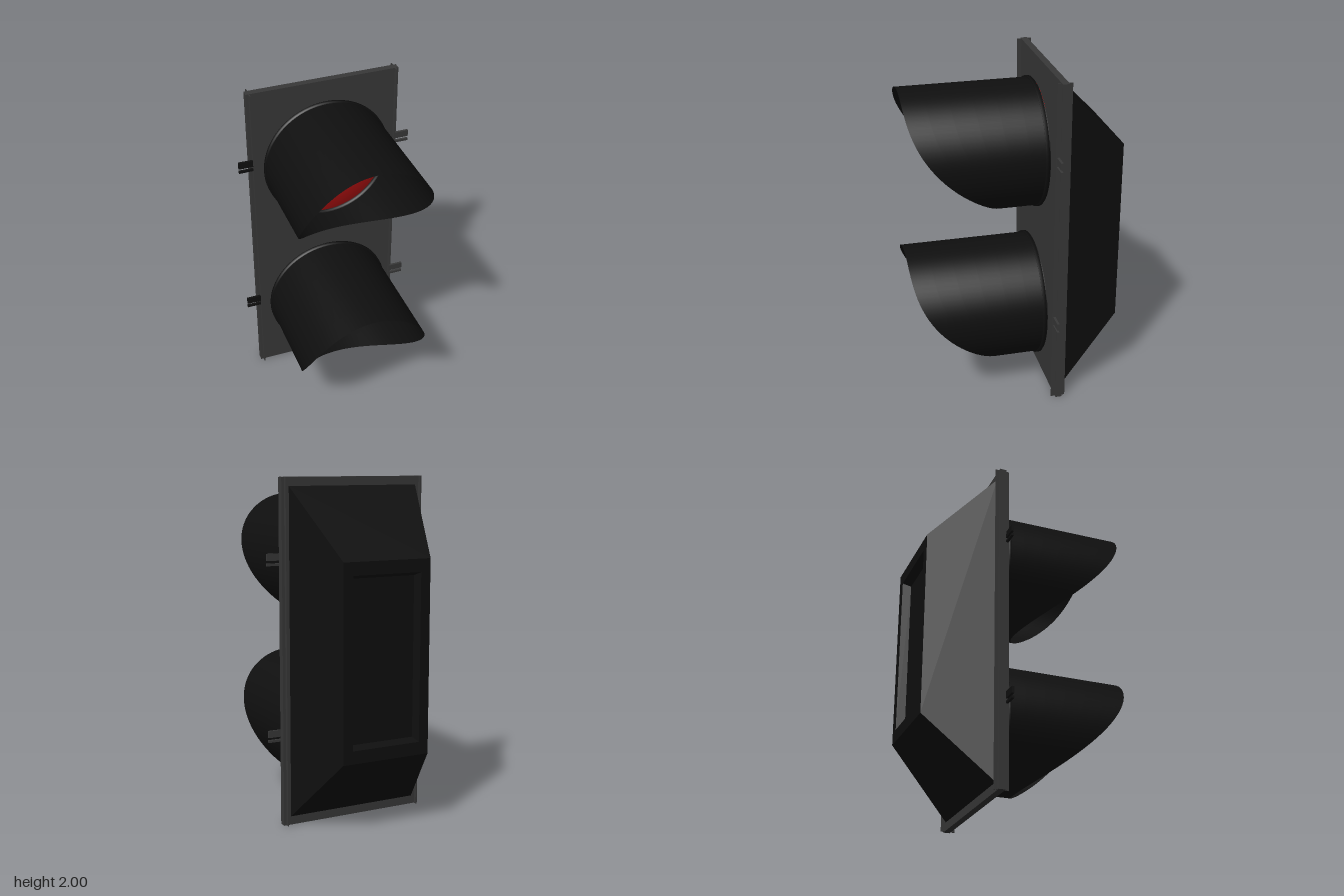
import * as THREE from 'three';

const mat = (color, side = THREE.FrontSide, flatShading = false) =>
  new THREE.MeshStandardMaterial({ color, side, flatShading });
const grey = mat(0x383838);
const black = mat(0x0f0f0f);
const blackShell = mat(0x0f0f0f, THREE.DoubleSide);
const blackFlat = mat(0x0f0f0f, THREE.FrontSide, true);
const R = 0.375;

function add(parent, name, geometry, material, x = 0, y = 0, z = 0) {
  const mesh = new THREE.Mesh(geometry, material);
  mesh.name = name;
  mesh.position.set(x, y, z);
  parent.add(mesh);
  return mesh;
}

// Tapered rear shell: rectangular loops [halfWidth, bottom, top, z], closed at the recess floor
function housingGeometry() {
  const loops = [
    [0.41, 0.05, 1.95, -0.24],
    [0.275, 0.435, 1.555, -0.625],
    [0.215, 0.51, 1.48, -0.625],
    [0.2, 0.53, 1.46, -0.575],
  ].map(([w, b, t, z]) => [[-w, b, z], [w, b, z], [w, t, z], [-w, t, z]]);
  const pos = [];
  const quad = (a, b, c, d) => pos.push(...a, ...b, ...c, ...a, ...c, ...d);
  for (let k = 0; k < loops.length - 1; k++) {
    for (let i = 0; i < 4; i++) {
      const j = (i + 1) % 4;
      quad(loops[k][i], loops[k + 1][i], loops[k + 1][j], loops[k][j]);
    }
  }
  const [a, b, c, d] = loops[loops.length - 1];
  quad(a, d, c, b);
  const g = new THREE.BufferGeometry();
  g.setAttribute('position', new THREE.Float32BufferAttribute(pos, 3));
  g.computeVertexNormals();
  return g;
}

// Open tube whose front rim sweeps back from the top to the bottom
function visorGeometry() {
  const g = new THREE.CylinderGeometry(R, R, 1, 72, 6, true);
  g.rotateX(Math.PI / 2);
  const p = g.attributes.position;
  for (let i = 0; i < p.count; i++) {
    const t = p.getY(i) / R;
    const front = 0.48 + 0.3 * t - 0.155 * t * t;
    p.setZ(i, THREE.MathUtils.lerp(-0.165, front, p.getZ(i) + 0.5));
  }
  return g;
}

// Shallow spherical cap facing +z, rim at z = 0
function lensGeometry(r, depth) {
  const sphere = (r * r + depth * depth) / (2 * depth);
  const g = new THREE.SphereGeometry(sphere, 64, 12, 0, Math.PI * 2, 0, Math.asin(r / sphere));
  g.translate(0, depth - sphere, 0);
  g.rotateX(Math.PI / 2);
  return g;
}

// Square-section collar around the base of the visor
function collarGeometry() {
  const pts = [[0.364, -0.158], [0.383, -0.158], [0.383, -0.138], [0.364, -0.138], [0.364, -0.158]]
    .map(([r, z]) => new THREE.Vector2(r, z));
  const g = new THREE.LatheGeometry(pts, 72);
  g.rotateX(Math.PI / 2);
  return g;
}

export function createModel() {
  const model = new THREE.Group();
  model.name = 'trafficSignal';

  // Front plate and rear housing
  add(model, 'frontPlate', new THREE.BoxGeometry(0.91, 2, 0.04), grey, 0, 1, -0.22);
  add(model, 'rearHousing', housingGeometry(), blackFlat);

  // Edge flanges and side clips
  for (const side of [-1, 1]) {
    add(model, 'edgeFlange', new THREE.BoxGeometry(0.006, 2, 0.085), grey, side * 0.436, 1, -0.2185);
    for (const y of [0.5, 1.515]) {
      const clip = new THREE.Group();
      clip.name = 'sideClip';
      const m = side < 0 ? black : grey;
      add(clip, 'clipUpperStrip', new THREE.BoxGeometry(0.09, 0.04, 0.014), m, side * 0.48, y + 0.042, -0.187);
      add(clip, 'clipLowerStrip', new THREE.BoxGeometry(0.09, 0.014, 0.014), m, side * 0.48, y, -0.187);
      model.add(clip);
    }
  }

  // Two lamps: lens, visor and collar
  const visor = visorGeometry(), lens = lensGeometry(0.368, 0.08), collar = collarGeometry();
  for (const [name, y, color, tilt] of [
    ['redLamp', 1.51, 0xc41414, -0.02],
    ['greenLamp', 0.502, 0x148a1a, 0],
  ]) {
    const lamp = new THREE.Group();
    lamp.name = name;
    lamp.position.y = y;
    add(lamp, 'lens', lens, mat(color, THREE.DoubleSide), 0, 0, -0.162).rotation.x = tilt;
    add(lamp, 'visor', visor, blackShell);
    add(lamp, 'collar', collar, blackShell);
    model.add(lamp);
  }
  return model;
}
